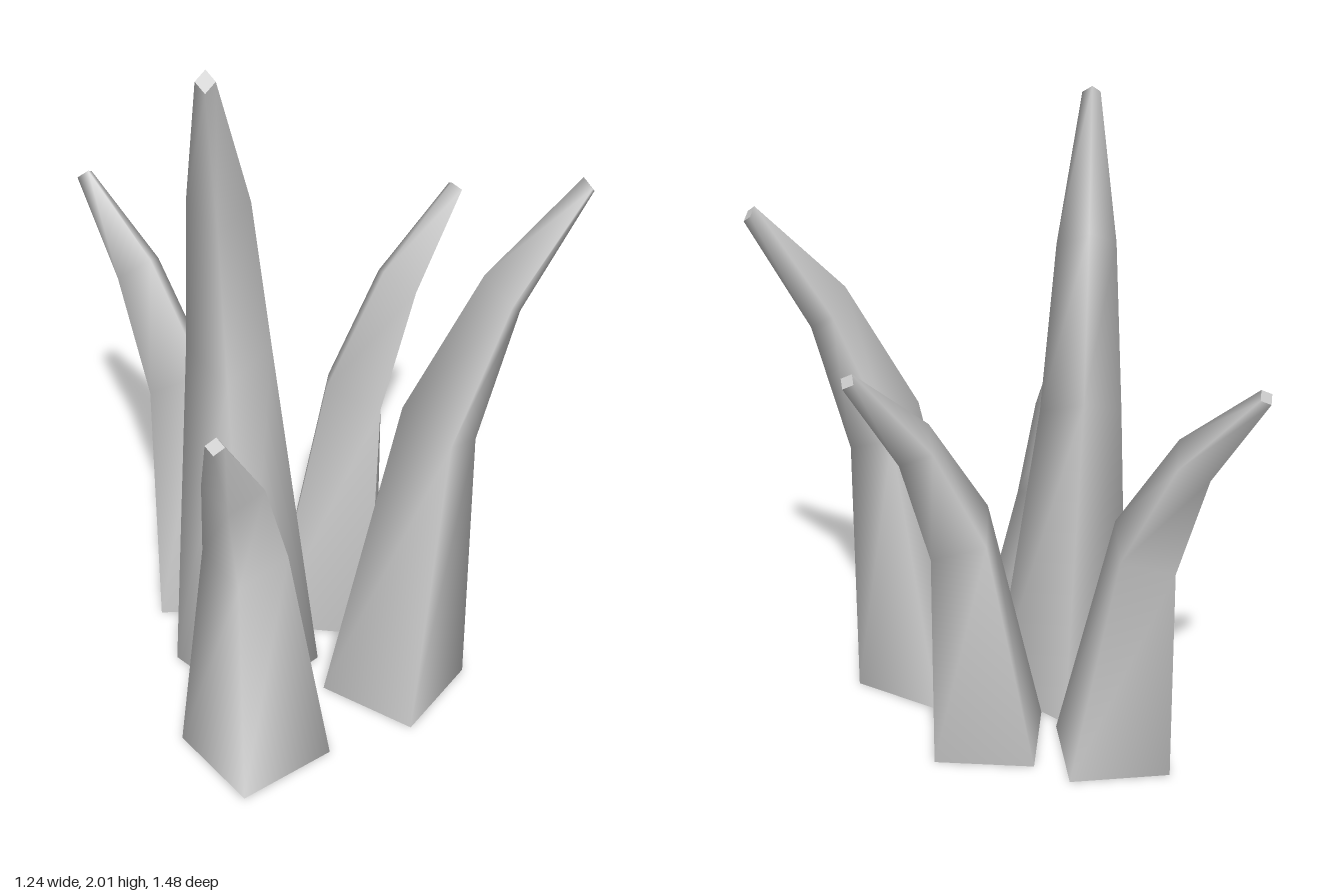
import * as THREE from 'three';

// Cross-sections, base to tip, leaning along local +x:
// [x, y, z of centre, half-diagonal along x, half-diagonal along z, drop of the leaning corner]
const LEANING = [
  [0, 0, 0, 0.22, 0.22, 0],
  [0.105, 0.765, 0, 0.11, 0.127, 0.055],
  [0.265, 1.10, 0, 0.055, 0.088, 0.05],
  [0.485, 1.355, 0, 0.017, 0.03, 0.018],
];
const UPRIGHT = [
  [0, 0, 0, 0.22, 0.22, 0],
  [-0.138, 0.60, 0.046, 0.122, 0.124, 0.04],
  [-0.057, 0.885, 0.064, 0.086, 0.089, 0.031],
  [0.092, 1.12, 0.085, 0.025, 0.027, 0.013],
];

// Four-sided curved spike: smooth sides, flat end caps
function spikeGeometry(rings, height) {
  const pos = [];
  const index = [];
  const addRing = ([x, y, z, a, b, drop]) => {
    for (const [s, t] of [[1, 0], [0, 1], [-1, 0], [0, -1]]) {
      pos.push(x + s * a, (y - s * drop) * height, z + t * b);
    }
  };
  rings.forEach(addRing);
  for (let r = 0; r < rings.length - 1; r++) {
    for (let i = 0; i < 4; i++) {
      const a = r * 4 + i;
      const b = r * 4 + (i + 1) % 4;
      index.push(a, a + 4, b, b, a + 4, b + 4);
    }
  }
  // Caps use their own corners so their edges stay sharp
  const n = rings.length * 4;
  addRing(rings[0]);
  addRing(rings[rings.length - 1]);
  index.push(n, n + 1, n + 2, n, n + 2, n + 3);
  index.push(n + 4, n + 6, n + 5, n + 4, n + 7, n + 6);

  const geometry = new THREE.BufferGeometry();
  geometry.setAttribute('position', new THREE.Float32BufferAttribute(pos, 3));
  geometry.setIndex(index);
  geometry.computeVertexNormals();
  return geometry;
}

export function createModel() {
  const group = new THREE.Group();
  group.name = 'spikeCluster';
  const material = new THREE.MeshStandardMaterial({ color: 0xcccccc });

  // name, profile, height factor, x, z, turn in degrees
  const spikes = [
    ['tallSpike', UPRIGHT, 1.77, -0.254, 0.137, -127.5],
    ['shortSpike', UPRIGHT, 1, -0.465, 0.465, -135],
    ['backSpike', LEANING, 0.985, -0.13, -0.25, 101.5],
    ['frontSpike', LEANING, 1.22, 0.045, 0.49, -26.5],
    ['sideSpike', LEANING, 1, 0.115, 0.06, 0],
  ];
  for (const [name, profile, height, x, z, turn] of spikes) {
    const mesh = new THREE.Mesh(spikeGeometry(profile, height), material);
    mesh.name = name;
    mesh.position.set(x, 0, z);
    mesh.rotation.y = THREE.MathUtils.degToRad(turn);
    group.add(mesh);
  }
  return group;
}
